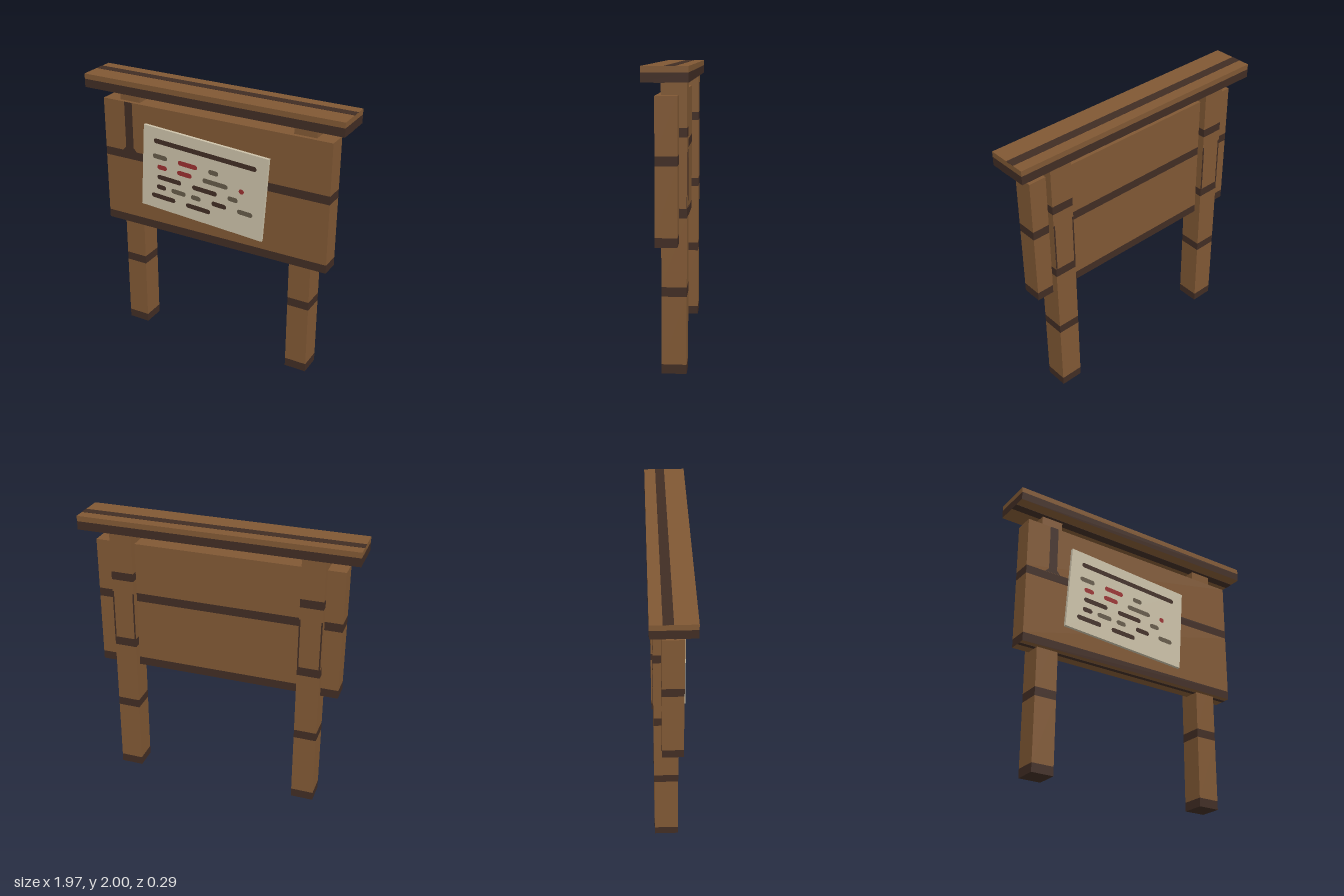
import * as THREE from 'three';

const mat = (name, color) => {
  const m = new THREE.MeshStandardMaterial({ color });
  m.name = name;
  return m;
};

export function createModel() {
  const brown = mat('brown wood', 0x805834);
  const dark = mat('dark wood', 0x412d24);
  const cream = mat('cream paper', 0xcbc1a8);
  const red = mat('red ink', 0x9a3030);
  const grey = mat('grey ink', 0x655a49);

  const model = new THREE.Group();
  model.name = 'noticeBoard';

  const group = (name, parent = model) => {
    const g = new THREE.Group();
    g.name = name;
    parent.add(g);
    return g;
  };

  // Box given by its extents; material may be an array, one per face
  const box = (parent, name, material, [x0, x1], [y0, y1], [z0, z1]) => {
    const mesh = new THREE.Mesh(new THREE.BoxGeometry(x1 - x0, y1 - y0, z1 - z0), material);
    mesh.position.set((x0 + x1) / 2, (y0 + y1) / 2, (z0 + z1) / 2);
    mesh.name = name;
    parent.add(mesh);
  };

  // Stack of alternating dark and brown layers, dark first; the underside can differ
  const stack = (parent, x, levels, z, under = dark) => {
    for (let i = 0; i < levels.length - 1; i++) {
      const side = i % 2 ? brown : dark;
      const faces = [side, side, side, i ? side : under, side, side];
      box(parent, i % 2 ? 'plainWood' : 'darkBand', faces, x, [levels[i], levels[i + 1]], z);
    }
  };

  // Two banded posts with thin dark cracks along the back edges
  for (const s of [-1, 1]) {
    const post = group(s > 0 ? 'leftPost' : 'rightPost');
    const x = [s * 0.68 - 0.081, s * 0.68 + 0.081];
    stack(post, x, [0, 0.063, 0.52, 0.583, 1.035, 1.098, 1.55, 1.61, 1.9], [-0.122, 0.042]);
    for (const [a, b] of [[x[0], x[0] + 0.01], [x[1] - 0.01, x[1]]])
      box(post, 'edgeCrack', dark, [a, b], [1.098, 1.46], [-0.1235, -0.121]);
  }

  // Board panel with dark bands all round
  const panel = group('panel');
  stack(panel, [-0.886, 0.886], [0.87, 0.932, 1.383, 1.445], [-0.071, 0.071], brown);
  box(panel, 'upperBoard', brown, [-0.886, 0.886], [1.445, 1.816], [-0.071, 0.071]);
  box(panel, 'undersideStripe', dark, [-0.886, 0.886], [0.8685, 0.872], [0, 0.032]);

  // Vertical groove on the front, flared where it meets the band
  const groove = new THREE.Shape([
    [-0.74, 1.445], [-0.62, 1.445], [-0.645, 1.475], [-0.645, 1.816],
    [-0.71, 1.816], [-0.71, 1.475],
  ].map(([x, y]) => new THREE.Vector2(x, y)));
  const grooveMesh = new THREE.Mesh(new THREE.ShapeGeometry(groove), dark);
  grooveMesh.name = 'verticalGroove';
  grooveMesh.position.z = 0.0725;
  panel.add(grooveMesh);

  // Roof plank with a stripe above and below
  const roof = group('roof');
  stack(roof, [-0.987, 0.987], [1.9, 1.96, 1.9985], [-0.145, 0.145], brown);
  box(roof, 'topStripe', dark, [-0.987, 0.987], [1.997, 2], [-0.065, 0]);
  box(roof, 'undersideStripe', dark, [-0.987, 0.987], [1.8985, 1.902], [0, 0.065]);

  // Tilted sheet of paper
  const notice = group('notice');
  notice.position.set(-0.064, 1.342, 0.071);
  notice.rotation.z = -0.066;
  box(notice, 'paper', cream, [-0.492, 0.492], [-0.312, 0.312], [0, 0.0225]);

  // Round-ended ink strokes: [colour, centre x, length] in rows
  const rows = [
    [0.214, [[dark, 0.003, 0.815]]],
    [0.097, [[grey, -0.35, 0.12], [red, -0.123, 0.157], [grey, 0.084, 0.08]]],
    [0.02, [[red, -0.329, 0.08], [red, -0.144, 0.12], [grey, 0.103, 0.2], [red, 0.31, 0.04]]],
    [-0.058, [[dark, -0.266, 0.198], [dark, 0.023, 0.2], [grey, 0.248, 0.08]]],
    [-0.136, [[dark, -0.329, 0.08], [grey, -0.186, 0.12], [grey, -0.043, 0.08],
      [dark, 0.144, 0.117], [grey, 0.349, 0.12]]],
    [-0.212, [[dark, -0.309, 0.2], [dark, -0.02, 0.2]]],
  ];
  const r = 0.018;
  for (const [y, strokes] of rows) {
    for (const [material, x, length] of strokes) {
      const h = length / 2 - r;
      const shape = new THREE.Shape();
      shape.absarc(h, 0, r, -Math.PI / 2, Math.PI / 2);
      shape.absarc(-h, 0, r, Math.PI / 2, Math.PI * 1.5);
      const stroke = new THREE.Mesh(new THREE.ShapeGeometry(shape, 4), material);
      stroke.name = 'inkStroke';
      stroke.position.set(x, y, 0.024);
      notice.add(stroke);
    }
  }

  return model;
}
